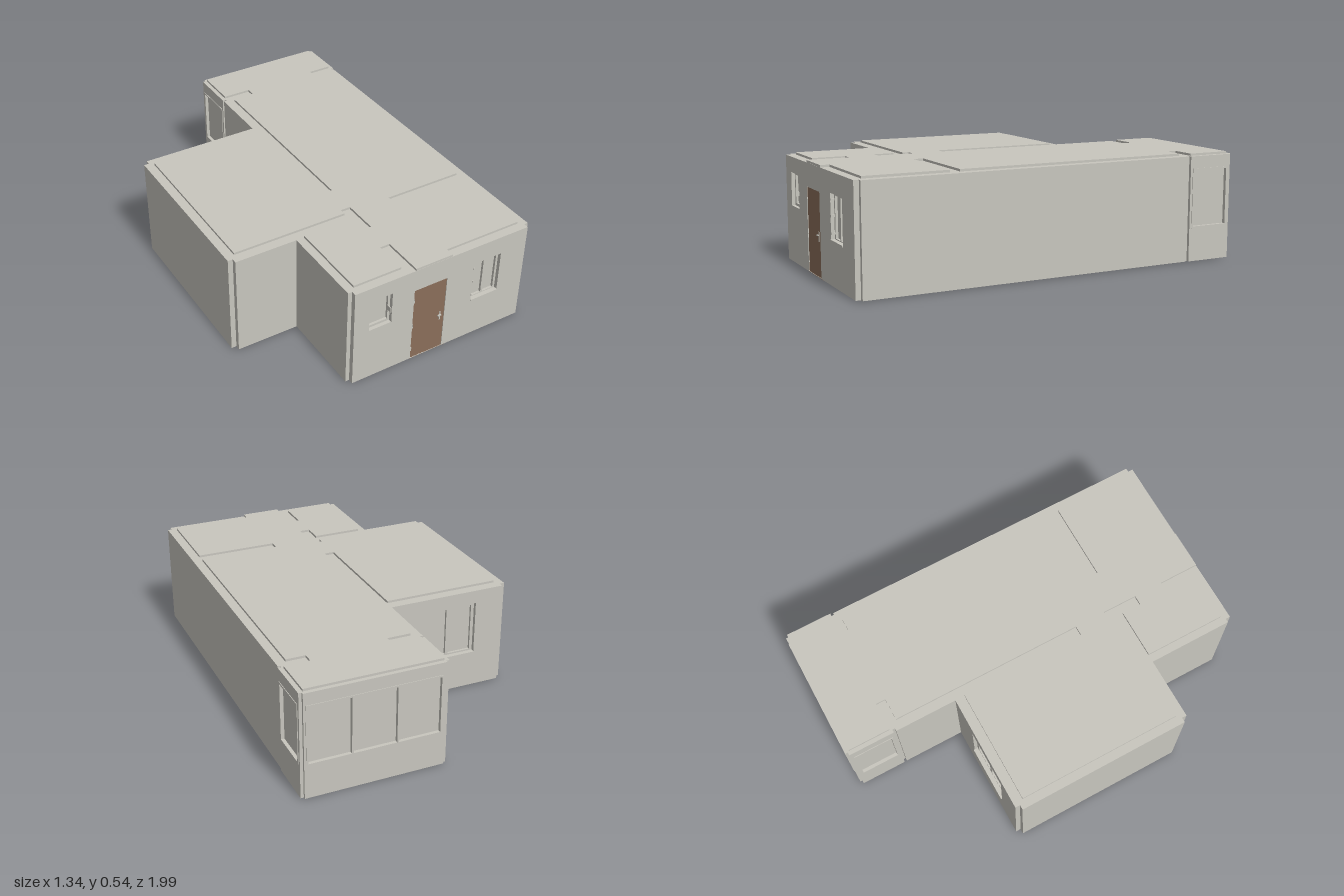
import * as THREE from 'three';

const plaster = new THREE.MeshStandardMaterial({ name: 'plaster', color: 0xc8c6be });
const wood = new THREE.MeshStandardMaterial({ name: 'brownWood', color: 0x8a6e5a });
const tile = new THREE.MeshStandardMaterial({ name: 'greyTile', color: 0x9c9c92 });

const WALL_BOTTOM = 0.004, WALL_TOP = 0.527, CEILING_TOP = 0.538;

// Box given by its limits on each axis
function block(name, mat, x0, x1, y0, y1, z0, z1) {
  const mesh = new THREE.Mesh(new THREE.BoxGeometry(x1 - x0, y1 - y0, z1 - z0), mat);
  mesh.position.set((x0 + x1) / 2, (y0 + y1) / 2, (z0 + z1) / 2);
  mesh.name = name;
  return mesh;
}

// Wall running from a0 to a1 along an axis, filling c0..c1 across it; holes are [a0, a1, y0, y1]
function wall(name, axis, a0, a1, c0, c1, holes = []) {
  const rect = (Type, l, r, b, t) => {
    const s = new Type();
    s.moveTo(l, b); s.lineTo(r, b); s.lineTo(r, t); s.lineTo(l, t); s.closePath();
    return s;
  };
  const shape = rect(THREE.Shape, a0, a1, WALL_BOTTOM, WALL_TOP);
  for (const h of holes) shape.holes.push(rect(THREE.Path, ...h));
  const geo = new THREE.ExtrudeGeometry(shape, { depth: c1 - c0, bevelEnabled: false });
  if (axis === 'x') geo.translate(0, 0, c0);
  else geo.rotateY(-Math.PI / 2).translate(c1, 0, 0);
  const mesh = new THREE.Mesh(geo, plaster);
  mesh.name = name;
  return mesh;
}

// Window facing local +z; z = 0 is the outer wall surface
function makeWindow(name, w, h, { panes = 1, back = -0.03, front = -0.018, frame = 0.012, sill = 0, handle = false }) {
  const g = new THREE.Group();
  g.name = name;
  const W = w / 2, H = h / 2, f = frame;
  g.add(block('pane', plaster, -W, W, -H, H, back - 0.008, back));
  for (const s of [-1, 1]) {
    g.add(block('frameRail', plaster, -W, W, s * (H - f / 2) - f / 2, s * (H - f / 2) + f / 2, back, front));
    g.add(block('frameStile', plaster, s * (W - f / 2) - f / 2, s * (W - f / 2) + f / 2, -H + f, H - f, back, front));
  }
  for (let i = 1; i < panes; i++) {
    const x = -W + (w * i) / panes;
    g.add(block('mullion', plaster, x - f / 2, x + f / 2, -H + f, H - f, back, front));
  }
  if (sill) g.add(block('sill', plaster, -W, W, -H, -H + 0.008, back, sill));
  if (handle) g.add(block('windowHandle', plaster, W - 0.012, W - 0.007, -0.02, 0.005, front, 0.006));
  return g;
}

export function createModel() {
  const model = new THREE.Group();
  model.name = 'apartment';

  // Window openings: [a0, a1, y0, y1]
  const smallHole = [-0.23, -0.11, 0.285, 0.45];
  const wideHole = [0.34, 0.495, 0.21, 0.43];
  const doorHole = [0.01, 0.19, 0.006, 0.412];
  const bedroomHole = [-0.5, -0.21, 0.185, 0.46];
  const balconyHole = [-0.01, 0.64, 0.17, 0.467];
  const sideHole = [-0.965, -0.755, 0.17, 0.467];

  // Outer walls stop short of the corners, leaving small square notches
  model.add(
    wall('frontWall', 'x', -0.31, 0.64, 0.945, 0.99, [smallHole, doorHole, wideHole]),
    wall('leftLongWall', 'z', -0.73, 0.29, -0.04, 0.01),
    wall('rightWall', 'z', -0.73, 0.965, 0.615, 0.66),
    wall('smallRoomSideWall', 'z', 0.48, 0.965, -0.33, -0.29),
    wall('bedroomBackWall', 'x', -0.645, -0.02, -0.41, -0.36, [bedroomHole]),
    wall('bedroomSideWall', 'z', -0.385, 0.505, -0.67, -0.625),
    wall('bedroomFrontWall', 'x', -0.645, -0.02, 0.48, 0.53),
  );

  // Inner walls
  model.add(
    wall('hallWallMiddle', 'z', 0.45, 0.63, -0.04, 0.01),
    wall('hallWallFront', 'z', 0.78, 0.98, -0.04, 0.01),
    wall('kitchenWall', 'x', 0.21, 0.63, 0.48, 0.53),
    wall('balconyWallLeft', 'x', -0.025, 0.125, -0.755, -0.705),
    wall('balconyWallRight', 'x', 0.52, 0.65, -0.755, -0.705),
  );

  // Enclosed balcony
  model.add(
    wall('balconyBackWall', 'x', -0.025, 0.65, -0.992, -0.97, [balconyHole]),
    wall('balconyLeftWall', 'z', -0.98, -0.743, -0.041, -0.019, [sideHole]),
    wall('balconyRightWall', 'z', -0.98, -0.743, 0.643, 0.665, [sideHole]),
  );

  // Windows
  const place = (win, x, y, z, turn) => {
    win.position.set(x, y, z);
    win.rotation.y = turn;
    model.add(win);
  };
  const balconyStyle = { back: -0.014, front: 0.003, frame: 0.009 };
  place(makeWindow('smallFrontWindow', 0.12, 0.165, { handle: true }), -0.17, 0.3675, 0.99, 0);
  place(makeWindow('wideFrontWindow', 0.155, 0.22, { panes: 2, sill: 0.004 }), 0.4175, 0.32, 0.99, 0);
  place(makeWindow('bedroomWindow', 0.29, 0.275, { panes: 2, sill: 0.006, frame: 0.016 }), -0.355, 0.3225, -0.41, Math.PI);
  place(makeWindow('balconyBackWindow', 0.65, 0.297, { ...balconyStyle, panes: 3 }), 0.315, 0.3185, -0.992, Math.PI);
  place(makeWindow('balconyLeftWindow', 0.21, 0.297, balconyStyle), -0.041, 0.3185, -0.86, -Math.PI / 2);
  place(makeWindow('balconyRightWindow', 0.21, 0.297, balconyStyle), 0.665, 0.3185, -0.86, Math.PI / 2);
  for (const y of [0.245, 0.325, 0.4]) model.add(block('windowHinge', plaster, 0.342, 0.347, y - 0.005, y + 0.005, 0.97, 0.991));

  // Entrance door with handle and hinges
  model.add(block('frontDoor', wood, 0.01, 0.19, 0.002, 0.412, 0.955, 0.987));
  model.add(block('doorPlate', plaster, 0.162, 0.169, 0.175, 0.222, 0.985, 0.99));
  model.add(block('doorHandle', plaster, 0.15, 0.169, 0.203, 0.208, 0.99, 0.997));
  for (const y of [0.06, 0.2, 0.35]) model.add(block('doorHinge', plaster, 0.01, 0.014, y - 0.01, y + 0.01, 0.985, 0.991));

  // Each room: floor plate and raised ceiling plate [name, floor material, x0, x1, z0, z1]
  const rooms = [
    ['bedroom', wood, -0.625, -0.04, -0.36, 0.48],
    ['bedroomDoorway', wood, -0.04, 0.01, 0.29, 0.45],
    ['smallRoom', tile, -0.29, -0.04, 0.53, 0.945],
    ['smallRoomDoorway', wood, -0.04, 0.01, 0.63, 0.78],
    ['livingRoom', wood, 0.01, 0.615, -0.705, 0.48],
    ['hall', wood, 0.01, 0.21, 0.48, 0.989],
    ['kitchen', tile, 0.21, 0.615, 0.53, 0.945],
    ['balconyDoorway', wood, 0.125, 0.52, -0.755, -0.705],
    ['balcony', tile, -0.02, 0.643, -0.972, -0.755],
  ];
  for (const [name, mat, x0, x1, z0, z1] of rooms) {
    const bottom = mat === tile ? 0 : 0.002;
    model.add(block(name + 'Floor', mat, x0, x1, bottom, 0.006, z0, z1));
    model.add(block(name + 'Ceiling', plaster, x0, x1, 0.515, CEILING_TOP, z0, z1));
  }
  return model;
}
